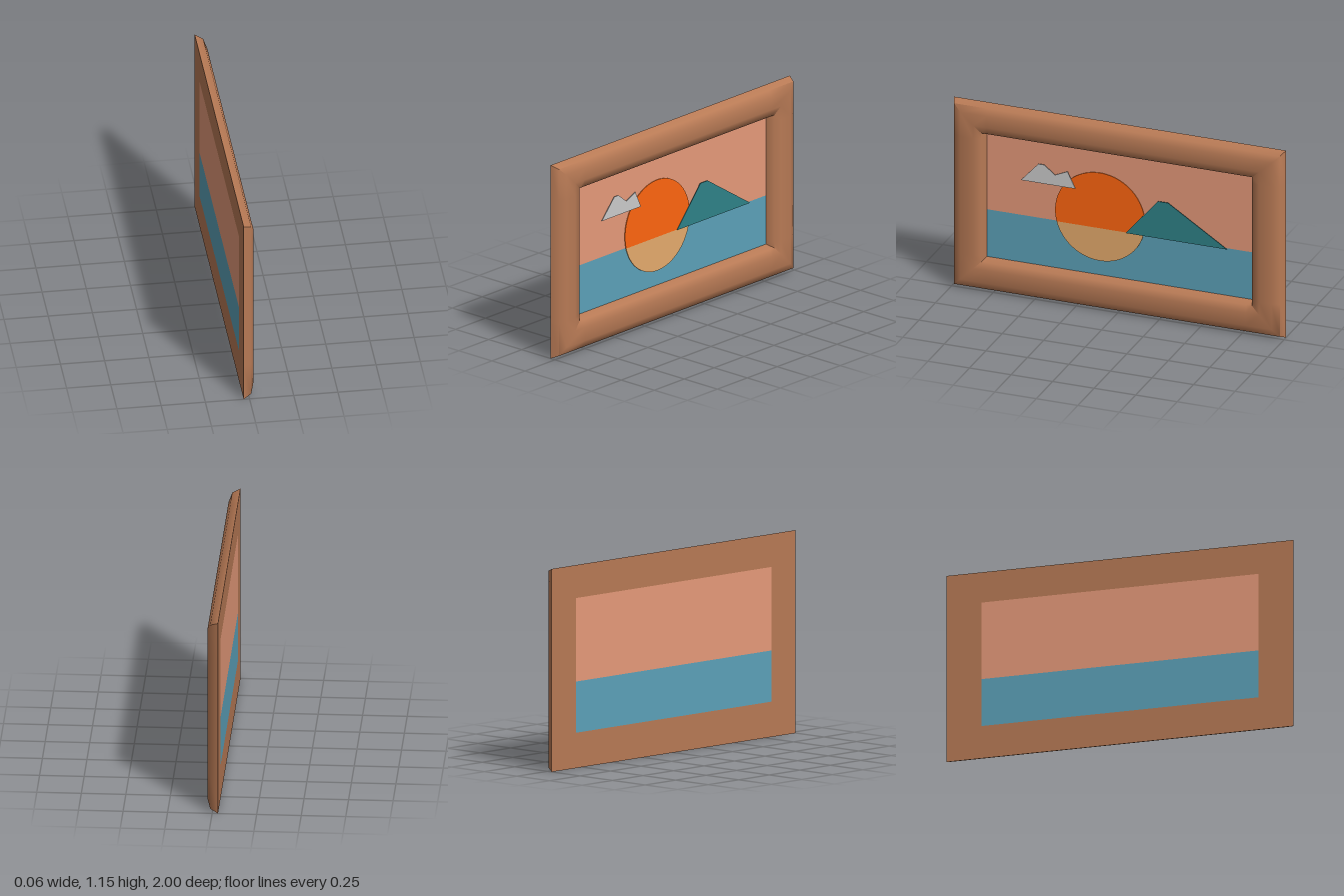
import * as THREE from 'three';
import { toCreasedNormals } from 'three/addons/utils/BufferGeometryUtils.js';

const BACK = -0.033, HORIZON = 0.49;

const material = (color) => new THREE.MeshStandardMaterial({ color, side: THREE.DoubleSide });

// Everything is laid out flat (u right, v up, w outwards), then turned to face +x.
function addPart(group, name, geometry, color) {
  geometry.rotateY(Math.PI / 2);
  const mesh = new THREE.Mesh(geometry, material(color));
  mesh.name = name;
  group.add(mesh);
}

// Moulded frame: a profile swept round a rectangle with mitred corners.
function frameGeometry() {
  // inset from the outer edge, height
  const profile = [[0, BACK], [0.02, 0.012], [0.063, 0.03], [0.14, 0.027], [0.185, 0.018], [0.2, BACK]];
  const top = 1.15, topScale = 0.187 / 0.2;
  const ring = ([d, w]) => {
    const u = 1 - d, v0 = d, v1 = top - d * topScale;
    // corners, plus stations just past each corner to keep the bars straight-shaded
    return [
      [-u, v0], [-0.78, v0], [0.78, v0], [u, v0], [u, 0.22], [u, 0.94],
      [u, v1], [0.78, v1], [-0.78, v1], [-u, v1], [-u, 0.94], [-u, 0.22],
    ].map(([x, y]) => [x, y, w]);
  };
  const rings = profile.map(ring);
  const n = rings[0].length, positions = [];
  rings.forEach((a, j) => {
    const b = rings[(j + 1) % rings.length];
    for (let i = 0; i < n; i++) {
      const k = (i + 1) % n;
      for (const p of [a[i], a[k], b[k], a[i], b[k], b[i]]) positions.push(...p);
    }
  });
  const geometry = new THREE.BufferGeometry();
  geometry.setAttribute('position', new THREE.Float32BufferAttribute(positions, 3));
  return toCreasedNormals(geometry, 1.2);
}

// Thin cut-out whose front lies at the given height.
function cutout(shape, front, depth = 0.004) {
  return new THREE.ExtrudeGeometry(shape, { depth, bevelEnabled: false, curveSegments: 28 })
    .translate(0, 0, front - depth);
}

const polygon = (points) => new THREE.Shape(points.map(([u, v]) => new THREE.Vector2(u, v)));

function panel(v0, v1) {
  return new THREE.PlaneGeometry(1.6, v1 - v0).translate(0, (v0 + v1) / 2, BACK);
}

function sunPart(start, end) {
  const shape = new THREE.Shape();
  shape.absarc(-0.117, 0.56, 0.27, start, end, false);
  shape.closePath();
  return cutout(shape, -0.024);
}

export function createModel() {
  const group = new THREE.Group();
  group.name = 'framedPicture';

  addPart(group, 'frame', frameGeometry(), 0xb87a55);

  // Background
  addPart(group, 'sky', panel(HORIZON, 0.963), 0xe69a7a);
  addPart(group, 'sea', panel(0.2, HORIZON), 0x5ca1b9);

  // Sun split at the horizon
  const a = Math.asin((HORIZON - 0.56) / 0.27);
  addPart(group, 'sun', sunPart(a, Math.PI - a), 0xff6610);
  addPart(group, 'sunReflection', sunPart(Math.PI - a, 2 * Math.PI + a), 0xe5ab6d);

  // Raised foreground shapes
  const mountain = polygon([[0.04, HORIZON], [0.65, HORIZON], [0.295, 0.717], [0.235, 0.717]]);
  addPart(group, 'mountain', cutout(mountain, -0.016), 0x2f8288);

  const cloud = polygon([[-0.59, 0.712], [-0.263, 0.712], [-0.31, 0.81], [-0.385, 0.776], [-0.45, 0.828], [-0.485, 0.828]]);
  addPart(group, 'cloud', cutout(cloud, -0.016), 0xcccccc);

  return group;
}
